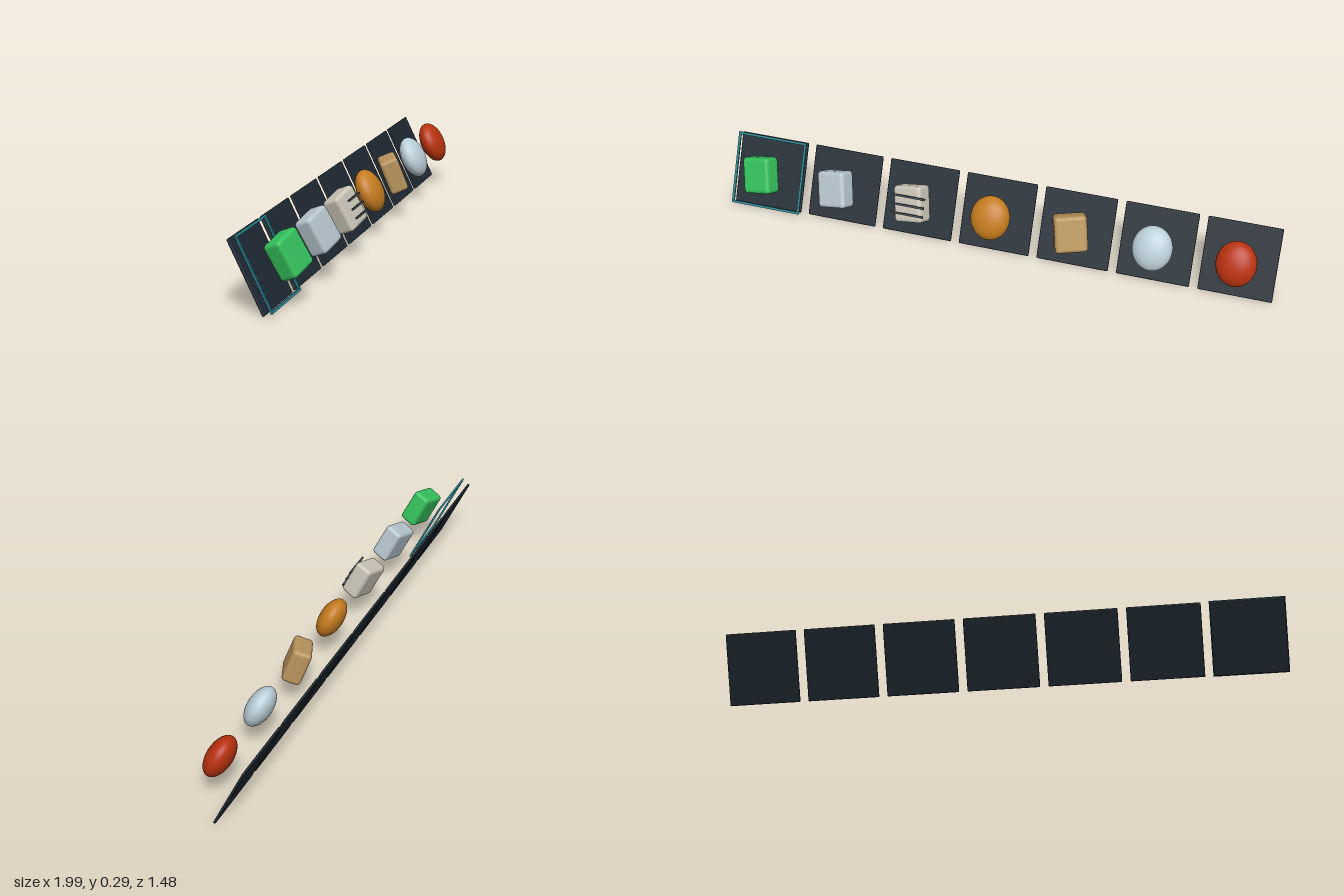
import * as THREE from 'three';
import { RoundedBoxGeometry } from 'three/addons/geometries/RoundedBoxGeometry.js';

const PITCH = 0.338; // spacing of the tiles
const TILE = 0.303;
const LIFT = 0.122; // distance of the items from their tile

function material(name, color) {
  const m = new THREE.MeshStandardMaterial({ color });
  m.name = name;
  return m;
}

function addMesh(parent, name, geometry, mat, x = 0, y = 0, z = 0) {
  const mesh = new THREE.Mesh(geometry, mat);
  mesh.name = name;
  mesh.position.set(x, y, z);
  parent.add(mesh);
  return mesh;
}

export function createModel() {
  const slate = material('slate', 0x1f2a33);
  const teal = material('teal', 0x2a8290);
  const barGrey = material('barGrey', 0x3c464e);

  // Items from left to right across the row
  const items = [
    { name: 'greenBlock', mat: material('green', 0x35c15c), yaw: -0.28 },
    { name: 'greyBlock', mat: material('paleGrey', 0xb6c5ce), yaw: -0.28 },
    { name: 'creamBlock', mat: material('cream', 0xcac4b6), yaw: -0.28, bars: true },
    { name: 'orangePebble', mat: material('orange', 0xc47b1f) },
    { name: 'tanBlock', mat: material('tan', 0xb8935c), yaw: 0.35 },
    { name: 'palePebble', mat: material('paleBlue', 0xbbced8) },
    { name: 'redPebble', mat: material('red', 0xb8320f) },
  ];

  const tileGeometry = new RoundedBoxGeometry(TILE, TILE, 0.01, 2, 0.004);
  const blockGeometry = new RoundedBoxGeometry(0.134, 0.152, 0.08, 3, 0.016);
  const pebbleGeometry = new THREE.SphereGeometry(1, 40, 28).scale(0.082, 0.092, 0.05);

  const model = new THREE.Group();
  model.name = 'itemRow';

  // The row is turned sideways and leans back
  const row = new THREE.Group();
  row.name = 'tiltedRow';
  row.rotation.set(THREE.MathUtils.degToRad(-26), THREE.MathUtils.degToRad(35), 0, 'YXZ');
  row.position.set(0, 0.139, -0.014);
  model.add(row);

  items.forEach((item, i) => {
    const slot = new THREE.Group();
    slot.name = item.name + 'Slot';
    slot.position.x = (i - 3) * PITCH;
    row.add(slot);

    addMesh(slot, 'tile', tileGeometry, slate);
    if (item.yaw !== undefined) {
      const block = addMesh(slot, item.name, blockGeometry, item.mat, 0, 0.003, LIFT);
      block.rotation.set(0.05, item.yaw, 0.17);
    } else {
      addMesh(slot, item.name, pebbleGeometry, item.mat, 0, 0.003, LIFT);
    }

    // Three bars across the face of the block
    if (item.bars) {
      const barGeometry = new THREE.BoxGeometry(0.14, 0.008, 0.008);
      for (const y of [-0.037, 0, 0.037]) {
        addMesh(slot, 'bar', barGeometry, barGrey, 0, y, 0.177);
      }
    }

    // Selection frame floating over the first tile
    if (i === 0) {
      const frame = new THREE.Group();
      frame.name = 'selectionFrame';
      frame.position.z = 0.035;
      slot.add(frame);
      const across = new THREE.BoxGeometry(TILE + 0.006, 0.01, 0.008);
      const upright = new THREE.BoxGeometry(0.01, TILE - 0.014, 0.008);
      for (const side of [-1, 1]) {
        addMesh(frame, 'frameRail', across, teal, 0, side * (TILE / 2 - 0.002), 0);
        addMesh(frame, 'framePost', upright, teal, side * (TILE / 2 - 0.002), 0, 0);
      }
    }
  });

  return model;
}
